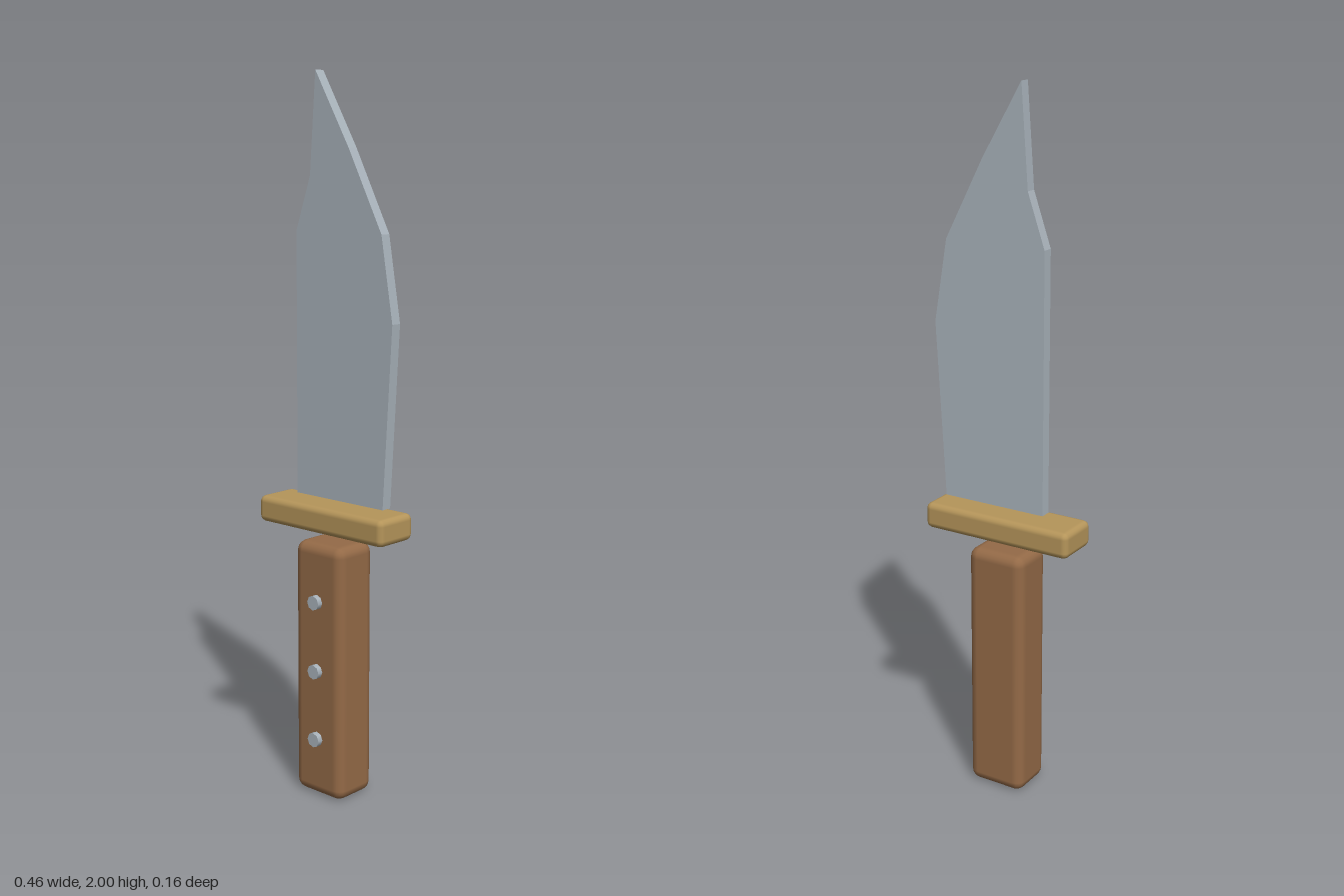
import * as THREE from 'three';
import { RoundedBoxGeometry } from 'three/addons/geometries/RoundedBoxGeometry.js';

const paint = (name, color) => {
  const m = new THREE.MeshStandardMaterial({ color });
  m.name = name;
  return m;
};

export function createModel() {
  const steel = paint('steel', 0xaab4bc);
  const brass = paint('brass', 0xb5955a);
  const wood = paint('wood', 0x946a47);

  const group = new THREE.Group();
  group.name = 'knife';
  const add = (name, geometry, material, x, y, z) => {
    const mesh = new THREE.Mesh(geometry, material);
    mesh.name = name;
    mesh.position.set(x, y, z);
    group.add(mesh);
    return mesh;
  };

  // Flat blade with a clipped back and a curved cutting edge
  const outline = [
    [-0.124, 0.852], [0.19, 0.852], [0.219, 1.35], [0.18, 1.58],
    [0.065, 1.80], [-0.053, 2.0], [-0.073, 1.727], [-0.124, 1.58],
  ].map(([x, y]) => new THREE.Vector2(x, y));
  const bladeGeometry = new THREE.ExtrudeGeometry(new THREE.Shape(outline), {
    depth: 0.031, bevelEnabled: false,
  });
  add('blade', bladeGeometry, steel, 0, 0, -0.024);

  // Cross guard
  add('guard', new RoundedBoxGeometry(0.458, 0.075, 0.135, 2, 0.018), brass, 0, 0.799, -0.009);

  // Handle
  add('handle', new RoundedBoxGeometry(0.176, 0.733, 0.14, 2, 0.03), wood, -0.001, 0.3665, -0.009);

  // Three rivets on the front of the handle
  for (const y of [0.17, 0.37, 0.57]) {
    const rivet = add('rivet', new THREE.CylinderGeometry(0.021, 0.021, 0.03, 8), steel, -0.001, y, 0.062);
    rivet.rotation.x = Math.PI / 2;
  }

  return group;
}
